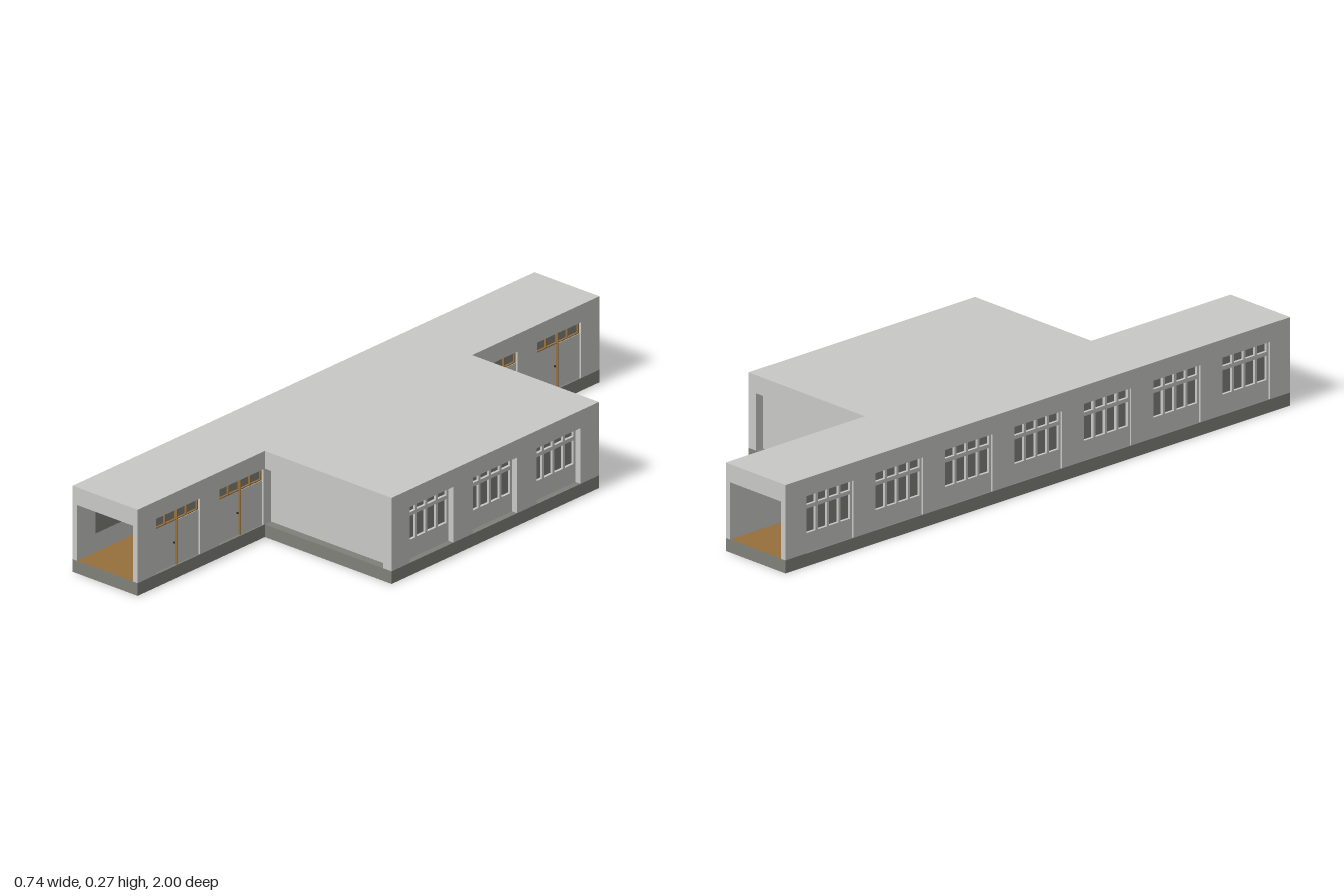
import * as THREE from 'three';

const mat = (name, color) => {
  const m = new THREE.MeshStandardMaterial({ color });
  m.name = name;
  return m;
};

export function createModel() {
  const wall = mat('pale concrete', 0xc8c8c6);
  const stone = mat('olive grey', 0x80807a);
  const wood = mat('brown wood', 0x96703c);
  const blue = mat('locker blue', 0x0a94cc);
  const dark = mat('dark metal', 0x2a2a2a);

  const model = new THREE.Group();
  model.name = 'building';
  const group = (name, parent = model) => {
    const g = new THREE.Group();
    g.name = name;
    parent.add(g);
    return g;
  };
  // Box given by its two limits on each axis
  const box = (parent, name, m, [x0, x1], [y0, y1], [z0, z1]) => {
    const mesh = new THREE.Mesh(
      new THREE.BoxGeometry(Math.abs(x1 - x0), Math.abs(y1 - y0), Math.abs(z1 - z0)), m);
    mesh.position.set((x0 + x1) / 2, (y0 + y1) / 2, (z0 + z1) / 2);
    mesh.name = name;
    parent.add(mesh);
    return mesh;
  };

  const XL = -0.372, XM = -0.12, XR = 0.371, ZB = 0.449;
  const Y0 = 0.04, Y1 = 0.217, T = 0.018, HALF = 0.095;

  // T-shaped slabs: plinth and roof
  const plan = new THREE.Shape([
    [XL, -1], [XM, -1], [XM, -ZB], [XR, -ZB], [XR, ZB], [XM, ZB], [XM, 1], [XL, 1],
  ].map(([x, z]) => new THREE.Vector2(x, z)));
  const slab = (name, m, y0, y1) => {
    const geo = new THREE.ExtrudeGeometry(plan, { depth: y1 - y0, bevelEnabled: false });
    geo.rotateX(-Math.PI / 2);
    const mesh = new THREE.Mesh(geo, m);
    mesh.position.y = y0;
    mesh.name = name;
    model.add(mesh);
  };
  slab('plinth', stone, 0, Y0);
  slab('roof', wall, Y1, 0.273);
  box(model, 'floor', wood, [XL + T, XM - T], [Y0, Y0 + 0.001], [-0.998, 0.998]);

  // Bay with a low wall, four panes and a transom light
  const windowBay = (parent, at, z) => {
    const g = group('window', parent);
    box(g, 'sillWall', wall, at(0, 0.012), [Y0, 0.1], [z - HALF, z + HALF]);
    box(g, 'glass', stone, at(0.009, 0.012), [0.1, Y1], [z - HALF, z + HALF]);
    box(g, 'transomBar', wall, at(0, 0.009), [0.175, 0.187], [z - HALF, z + HALF]);
    for (let i = 0; i <= 4; i++) {
      const c = z - HALF + 0.004 + i * (2 * HALF - 0.008) / 4;
      box(g, 'mullion', wall, at(0, 0.009), [0.1, Y1], [c - 0.004, c + 0.004]);
    }
  };

  // Bay with a fixed panel, a set-back door and a glazed strip above
  const doorBay = (parent, at, z) => {
    const g = group('doorway', parent);
    box(g, 'fixedPanel', wall, at(0, 0.012), [Y0, 0.18], [z - HALF, z]);
    box(g, 'door', wall, at(0.004, 0.012), [Y0, 0.18], [z, z + HALF]);
    box(g, 'doorJamb', wood, at(-0.003, 0.004), [Y0, Y1], [z - 0.0015, z + 0.0015]);
    box(g, 'knob', dark, at(0, 0.004), [0.108, 0.113], [z + 0.006, z + 0.01]);
    box(g, 'glass', stone, at(0.009, 0.012), [0.18, Y1], [z - HALF, z + HALF]);
    box(g, 'lintel', wood, at(0.002, 0.009), [0.18, 0.183], [z - HALF, z + HALF]);
    for (let i = 0; i <= 4; i++) {
      const c = z - HALF + 0.002 + i * (2 * HALF - 0.004) / 4;
      box(g, 'transomPost', wood, at(0.002, 0.009), [0.183, Y1], [c - 0.0015, c + 0.0015]);
    }
  };

  // Row of bays separated by columns; side is the outward direction in x
  const facade = (name, x, side, z0, z1, centres, recess, bay) => {
    const g = group(name);
    const at = (a, b) => [x - side * (recess + a), x - side * (recess + b)];
    let edge = z0;
    for (const c of centres) {
      box(g, 'column', wall, [x, x - side * (recess + 0.012)], [Y0, Y1], [edge, c - HALF]);
      bay(g, at, c);
      edge = c + HALF;
    }
    if (z1 - edge > 0.001) {
      box(g, 'column', wall, [x, x - side * (recess + 0.012)], [Y0, Y1], [edge, z1]);
    }
  };
  facade('corridorOuterWall', XL, -1, -1, 1,
    [-3, -2, -1, 0, 1, 2, 3].map((i) => i * 0.275), 0.006, windowBay);
  facade('hallWindowWall', XR, 1, -ZB, ZB, [-0.275, 0, 0.275], 0.02, windowBay);
  facade('corridorBackDoors', XM, 1, -1, -ZB, [-0.825, -0.55], 0.006, doorBay);
  facade('corridorFrontDoors', XM, 1, ZB, 1, [0.55, 0.825], 0.006, doorBay);
  box(model, 'corridorInnerWall', wall, [XM - T, XM], [Y0, Y1], [-ZB, ZB]);

  // Recessed end walls of the hall
  for (const s of [-1, 1]) {
    box(model, 'hallEndWall', wall, [XM, XR - T], [Y0, Y1], [s * (ZB - 0.045), s * (ZB - 0.027)]);
  }

  // Lockers along the corridor wall
  const lockers = group('lockers');
  const lx = XM - T;
  for (const c of [-0.3, 0, 0.3]) {
    box(lockers, 'lockerBase', wood, [lx - 0.021, lx], [Y0, 0.053], [c - 0.1, c + 0.1]);
    for (let i = 0; i < 5; i++) {
      const z = c - 0.08 + i * 0.04;
      box(lockers, 'locker', blue, [lx - 0.022, lx], [0.053, 0.16], [z - 0.019, z + 0.019]);
      for (const y of [0.08, 0.107, 0.135]) {
        box(lockers, 'handle', dark, [lx - 0.024, lx - 0.022], [y, y + 0.008], [z + 0.01, z + 0.014]);
      }
    }
  }

  // Ceiling lamps
  const lampGeo = new THREE.CylinderGeometry(0.004, 0.009, 0.005, 16);
  for (let i = -3; i <= 3; i++) {
    const lamp = new THREE.Mesh(lampGeo, stone);
    lamp.name = 'ceilingLamp';
    lamp.position.set(-0.243, 0.2135, i * 0.275);
    model.add(lamp);
  }
  return model;
}
